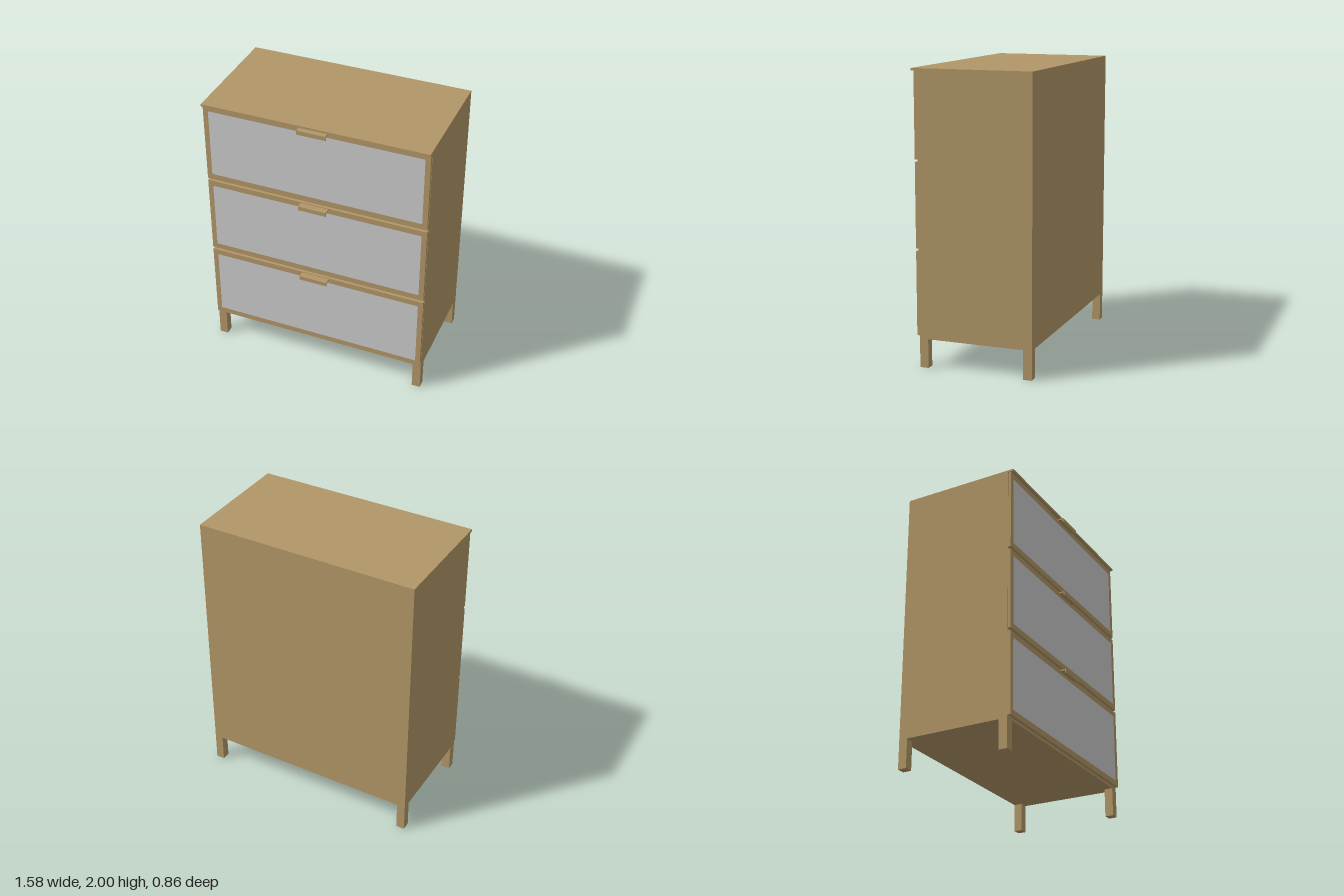
import * as THREE from 'three';

const wood = new THREE.MeshStandardMaterial({ color: 0xb29768 });
const grey = new THREE.MeshStandardMaterial({ color: 0xcccccc });

// Box given by its lower and upper corner
function box(name, [x0, y0, z0], [x1, y1, z1], material = wood) {
  const mesh = new THREE.Mesh(new THREE.BoxGeometry(x1 - x0, y1 - y0, z1 - z0), material);
  mesh.position.set((x0 + x1) / 2, (y0 + y1) / 2, (z0 + z1) / 2);
  mesh.name = name;
  return mesh;
}

function rect(path, x, y0, y1) {
  path.moveTo(-x, y0);
  path.lineTo(x, y0);
  path.lineTo(x, y1);
  path.lineTo(-x, y1);
  path.closePath();
  return path;
}

const HALF = 0.79, BACK = -0.43, FRONT = 0.365, FACE = 0.385;

// Framed front with a flush panel and a hooked pull
function makeDrawer(y0, height) {
  const drawer = new THREE.Group();
  drawer.name = 'drawer';
  const y1 = y0 + height, border = 0.04;

  const shape = rect(new THREE.Shape(), 0.788, y0, y1);
  shape.holes.push(rect(new THREE.Path(), 0.752, y0 + border, y1 - border));
  const frame = new THREE.Mesh(
    new THREE.ExtrudeGeometry(shape, { depth: FACE - FRONT, bevelEnabled: false }), wood);
  frame.position.z = FRONT;
  frame.name = 'drawerFrame';

  drawer.add(
    frame,
    box('drawerPanel', [-0.752, y0 + border, FRONT], [0.752, y1 - border, FACE], grey),
    box('handlePlate', [-0.1, y1 - 0.016, FACE], [0.1, y1 - 0.006, 0.43]),
    box('handleLip', [-0.1, y1 - 0.036, 0.421], [0.1, y1 - 0.016, 0.43])
  );
  return drawer;
}

export function createModel() {
  const model = new THREE.Group();
  model.name = 'chestOfDrawers';

  // Carcass and overhanging top
  model.add(
    box('carcass', [-HALF, 0.2, BACK], [HALF, 1.985, FRONT]),
    box('top', [-HALF, 1.985, BACK], [HALF, 2, 0.405])
  );

  // Three drawers separated by narrow gaps
  for (let i = 0; i < 3; i++) model.add(makeDrawer(0.22 + i * 0.594, 0.576));

  // Square corner legs
  const leg = 0.06;
  for (const x of [-HALF, HALF - leg]) {
    for (const z of [BACK, FRONT - leg]) {
      model.add(box('leg', [x, 0, z], [x + leg, 0.2, z + leg]));
    }
  }
  return model;
}
